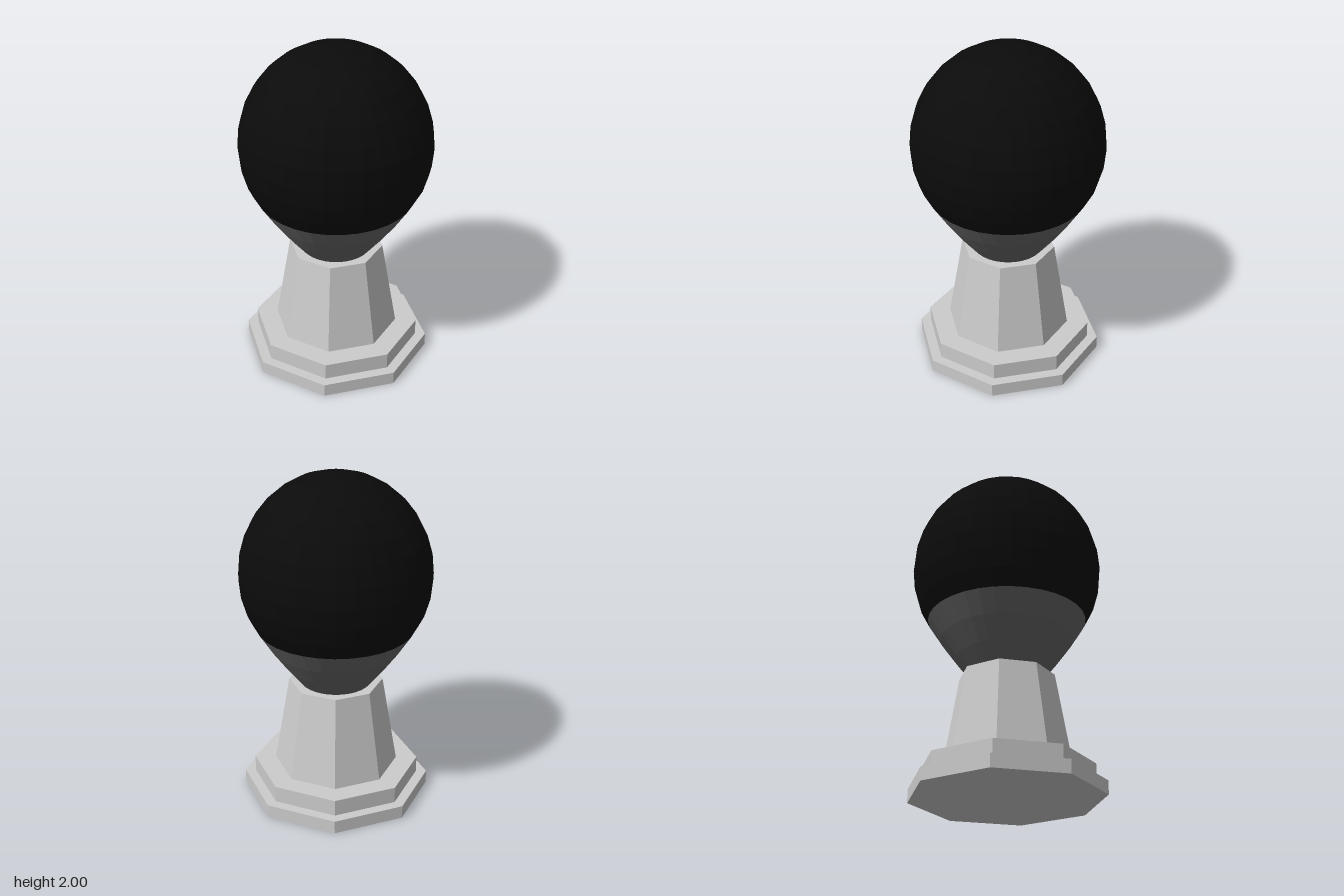
import * as THREE from 'three';

const SIDES = 8;      // stepped pedestal
const SEGMENTS = 32;  // round globe and neck

function material(color) {
  return new THREE.MeshStandardMaterial({ color, flatShading: true });
}

export function createModel() {
  const model = new THREE.Group();
  model.name = 'globeOnPedestal';

  function add(name, geometry, mat) {
    const mesh = new THREE.Mesh(geometry, mat);
    mesh.name = name;
    model.add(mesh);
    return mesh;
  }

  // Octagonal pedestal, corners on the axes: [name, bottom radius, top radius, bottom y, top y]
  const stone = material(0xcccccc);
  const tiers = [
    ['lowerPlinth', 0.563, 0.563, 0, 0.08],
    ['upperPlinth', 0.5, 0.5, 0.08, 0.18],
    ['taperedColumn', 0.372, 0.28, 0.18, 0.725],
  ];
  for (const [name, bottom, top, y0, y1] of tiers) {
    add(name, new THREE.CylinderGeometry(top, bottom, y1 - y0, SIDES), stone).position.y = (y0 + y1) / 2;
  }

  // Flared grey neck holding the globe
  const neckProfile = [[0, 0.72], [0.21, 0.72], [0.3, 0.833], [0.388, 0.955], [0.467, 1.08]];
  add('neck', new THREE.LatheGeometry(neckProfile.map(([r, y]) => new THREE.Vector2(r, y)), SEGMENTS), material(0x666666));

  // Slightly tall dark globe, cut off where it meets the neck
  const globeProfile = [];
  for (let i = 0; i <= 11; i++) {
    const a = ((11 - i) * Math.PI) / 16;
    globeProfile.push(new THREE.Vector2(0.562 * Math.sin(a), 1.406 + 0.594 * Math.cos(a)));
  }
  globeProfile[0].set(0.467, 1.08);
  add('globe', new THREE.LatheGeometry(globeProfile, SEGMENTS), material(0x0b0b0b));

  return model;
}
